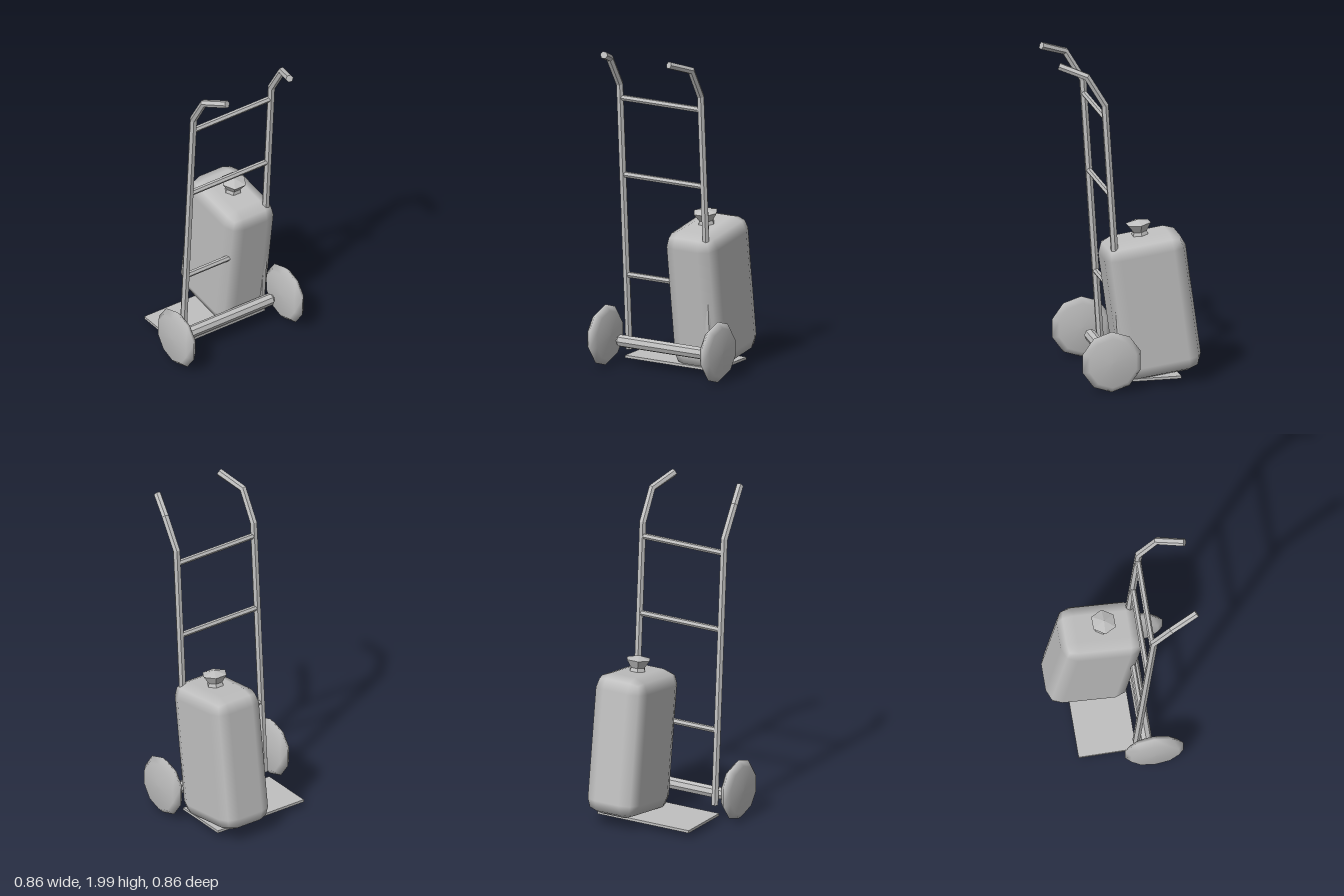
import * as THREE from 'three';
import { RoundedBoxGeometry } from 'three/addons/geometries/RoundedBoxGeometry.js';

const grey = new THREE.MeshStandardMaterial({ color: 0xc0c0c0 });
grey.name = 'plain grey';
const facetGrey = grey.clone();
facetGrey.flatShading = true;

const lathe = (points, sides) => new THREE.LatheGeometry(
  points.map(([r, y]) => new THREE.Vector2(r, y)), sides, Math.PI / 2);

// Mitred hexagonal tube with closed ends along a bent path
function hexTube(path, radius) {
  const pts = path.map(p => new THREE.Vector3(...p));
  const pos = [], index = [], sides = 6, last = pts.length - 1;
  pts.forEach((p, i) => {
    const t = new THREE.Vector3();
    if (i > 0) t.add(p.clone().sub(pts[i - 1]).normalize());
    if (i < last) t.add(pts[i + 1].clone().sub(p).normalize());
    t.normalize();
    const n = new THREE.Vector3(1, 0, 0).addScaledVector(t, -t.x).normalize();
    const b = t.clone().cross(n);
    for (let k = 0; k < sides; k++) {
      const a = k / sides * Math.PI * 2;
      const v = p.clone().addScaledVector(n, Math.cos(a) * radius).addScaledVector(b, Math.sin(a) * radius);
      pos.push(v.x, v.y, v.z);
    }
  });
  for (let i = 0; i < last; i++) for (let k = 0; k < sides; k++) {
    const a = i * sides + k, b = i * sides + (k + 1) % sides;
    index.push(a, b, b + sides, a, b + sides, a + sides);
  }
  for (let k = 1; k < sides - 1; k++) {
    index.push(0, k + 1, k);
    index.push(last * sides, last * sides + k, last * sides + k + 1);
  }
  const g = new THREE.BufferGeometry();
  g.setAttribute('position', new THREE.Float32BufferAttribute(pos, 3));
  g.setIndex(index);
  g.computeVertexNormals();
  return g;
}

export function createModel() {
  const model = new THREE.Group();
  model.name = 'handTruckWithCan';
  const add = (name, geometry, material, x = 0, y = 0, z = 0, parent = model) => {
    const mesh = new THREE.Mesh(geometry, material);
    mesh.name = name;
    mesh.position.set(x, y, z);
    parent.add(mesh);
    return mesh;
  };

  // Side rails with bent handles, and wheels
  const wheel = lathe([[0, -0.037], [0.15, -0.034], [0.185, 0], [0.15, 0.034], [0, 0.037]], 10);
  wheel.rotateZ(Math.PI / 2);
  for (const [side, s] of [['left', 1], ['right', -1]]) {
    add(side + 'Rail', hexTube([
      [s * 0.282, 0.1, 0.05], [s * 0.282, 1.74, 0.157],
      [s * 0.284, 1.92, 0.265], [s * 0.226, 1.98, 0.422],
    ], 0.023), facetGrey);
    add(side + 'Wheel', wheel, grey, s * 0.392, 0.19, 0.141);
  }

  // Crossbars
  for (const [y, z] of [[1.655, 0.15], [1.18, 0.12], [0.56, 0.08]]) {
    const bar = new THREE.CylinderGeometry(0.018, 0.018, 0.54, 6);
    bar.rotateZ(Math.PI / 2);
    add('crossbar', bar, facetGrey, 0, y, z);
  }

  // Axle with chamfered ends
  const axle = lathe([[0, -0.328], [0.024, -0.328], [0.037, -0.312],
    [0.037, 0.312], [0.024, 0.328], [0, 0.328]], 8);
  axle.rotateZ(Math.PI / 2);
  add('axle', axle, facetGrey, 0, 0.157, 0.105);

  // Toe plate
  add('toePlate', new THREE.BoxGeometry(0.63, 0.016, 0.345), facetGrey, 0, 0.046, -0.127);

  // Leaning can with its neck and flared cap
  const can = new THREE.Group();
  can.name = 'can';
  can.position.set(0.172, 0.475, -0.14);
  can.rotation.x = 0.136;
  model.add(can);
  add('canBody', new RoundedBoxGeometry(0.345, 0.857, 0.497, 1, 0.09), grey, 0, 0, 0, can);
  add('canNeck', lathe([[0.055, 0.415], [0.05, 0.436], [0.042, 0.46]], 6), facetGrey, 0, 0, 0, can);
  add('canCap', lathe([[0, 0.445], [0.045, 0.45], [0.078, 0.5], [0, 0.522]], 6), facetGrey, 0, 0, 0, can);

  return model;
}
